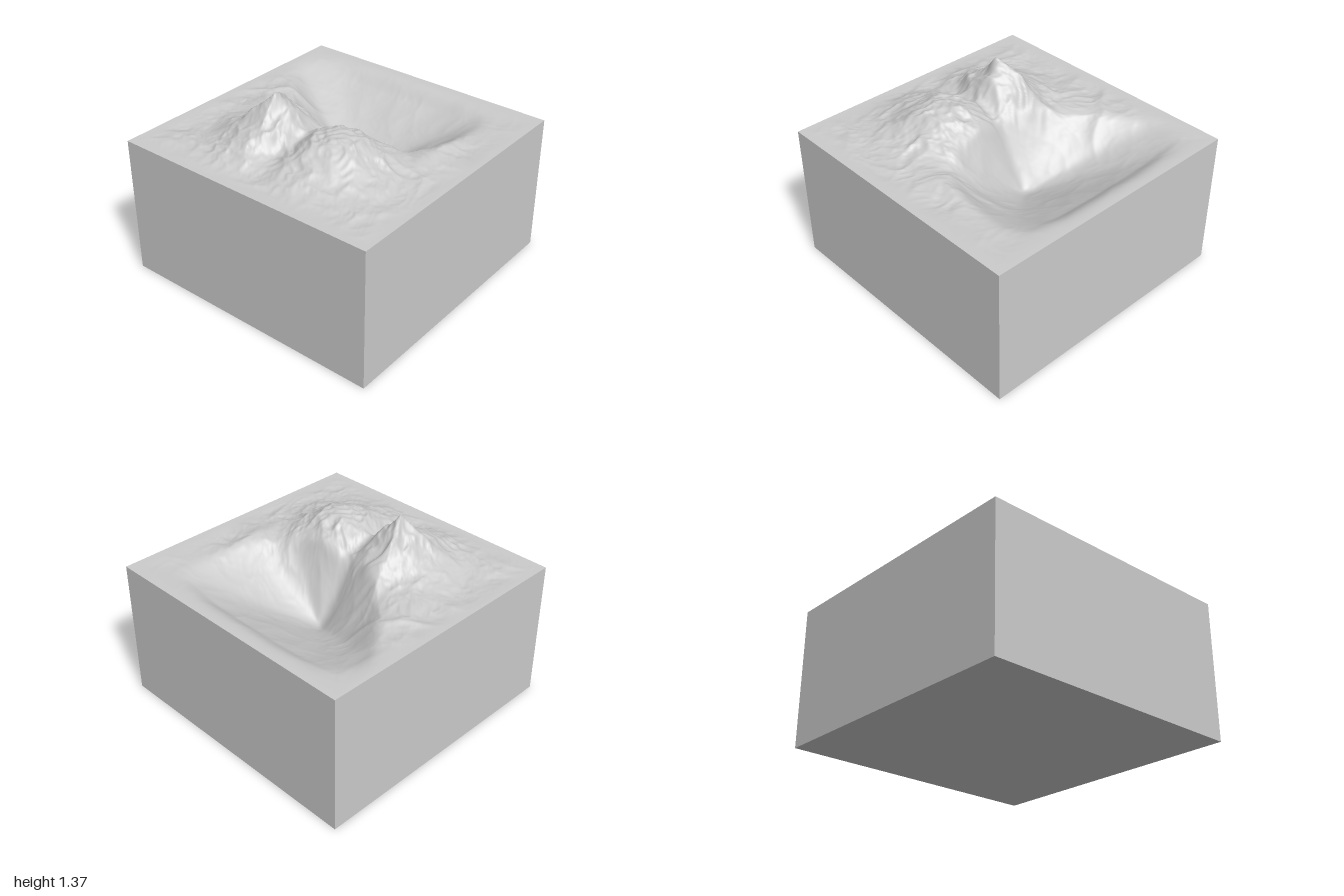
import * as THREE from 'three';

const RIM = 1.02; // height of the flat border

// Repeatable gradient-free lattice noise in the range -1..1
function lattice(i, j) {
  let n = Math.imul(i + 131, 374761393) ^ Math.imul(j + 57, 668265263);
  n = Math.imul(n ^ (n >>> 13), 1274126177);
  return ((n ^ (n >>> 16)) >>> 0) / 2147483648 - 1;
}

function noise(x, z) {
  const i = Math.floor(x), j = Math.floor(z);
  const fade = (t) => t * t * t * (t * (t * 6 - 15) + 10);
  const u = fade(x - i), v = fade(z - j), mix = THREE.MathUtils.lerp;
  return mix(
    mix(lattice(i, j), lattice(i + 1, j), u),
    mix(lattice(i, j + 1), lattice(i + 1, j + 1), u), v);
}

// Sharp-crested fractal noise for rocky ridges, centred near zero
function ridges(x, z) {
  let sum = 0, amp = 1, f = 4.5;
  const wx = x + 0.06 * noise(x * 5 + 9, z * 5), wz = z + 0.06 * noise(x * 5, z * 5 + 21);
  for (let k = 0; k < 4; k++) {
    const a = 0.6 + k, c = Math.cos(a), s = Math.sin(a);
    sum += amp * (0.62 - Math.abs(noise((wx * c - wz * s) * f, (wx * s + wz * c) * f)) * 1.6);
    amp *= 0.5;
    f *= 2;
  }
  return sum;
}

// Hills and gullies: centre x, centre z, radius x, radius z, height
const HILLS = [
  [-0.36, -0.26, 0.22, 0.18, 0.25],  // main peak
  [-0.37, -0.26, 0.07, 0.07, 0.05],  // summit
  [-0.36, 0.3, 0.23, 0.2, 0.2],      // second peak
  [-0.2, 0.14, 0.08, 0.09, 0.06],    // shoulder
  [-0.2, -0.27, 0.08, 0.1, 0.04],    // east shoulder
  [-0.3, -0.03, 0.3, 0.06, -0.06],   // gully between the peaks
  [0.2, 0.68, 0.2, 0.06, 0.03],      // low southern hill
  [0.1, -0.65, 0.16, 0.1, 0.02],     // low northern hill
];

// Basin: lowest point and the outline of its rim, in order of angle
const LOW = [0.17, 0.0];
const OUTLINE = new THREE.CatmullRomCurve3([
  [0.9, 0], [0.88, 0.35], [0.74, 0.62], [0.42, 0.66], [0.15, 0.58], [0.0, 0.42], [-0.05, 0.15],
  [-0.08, -0.05], [-0.03, -0.25], [0.1, -0.45], [0.32, -0.66], [0.6, -0.84], [0.82, -0.72], [0.9, -0.4],
].map(([x, z]) => new THREE.Vector3(x, 0, z)), true).getPoints(140)
  .map((p) => ({ a: Math.atan2(p.z - LOW[1], p.x - LOW[0]), r: Math.hypot(p.x - LOW[0], p.z - LOW[1]) }))
  .sort((p, q) => p.a - q.a);

function rimRadius(angle) {
  const n = OUTLINE.length;
  let k = OUTLINE.findIndex((p) => p.a > angle);
  if (k < 0) k = 0;
  const p = OUTLINE[(k + n - 1) % n], q = OUTLINE[k];
  const turn = (d) => (d + 4 * Math.PI) % (2 * Math.PI);
  const t = turn(angle - p.a) / Math.max(turn(q.a - p.a), 1e-6);
  return THREE.MathUtils.lerp(p.r, q.r, Math.min(t, 1));
}

function basinDepth(x, z) {
  const dx = x - LOW[0], dz = z - LOW[1];
  const t = Math.hypot(dx, dz) / rimRadius(Math.atan2(dz, dx));
  // a cone with a rounded floor and a soft rim
  const s = 1.05 - Math.sqrt(t * t + 0.012);
  return 0.2 * (s + Math.sqrt(s * s + 0.008));
}

function terrainHeight(x, z) {
  const edge = 1 - Math.max(Math.abs(x), Math.abs(z));
  const mask = THREE.MathUtils.smoothstep(edge, 0.02, 0.22);
  let h = 0;
  for (const [cx, cz, rx, rz, top] of HILLS) {
    h += top * Math.exp(-0.5 * (((x - cx) / rx) ** 2 + ((z - cz) / rz) ** 2));
  }
  const depth = basinDepth(x, z);
  // rock is rough on the hills and smooth inside the basin
  const east = THREE.MathUtils.smoothstep(x, 0.1, 0.7);
  const rough = (0.013 + 0.12 * Math.max(h, 0)) * (1 - 0.65 * east) / (1 + 5 * depth);
  return RIM + mask * (h - depth + rough * ridges(x, z));
}

export function createModel() {
  const group = new THREE.Group();
  group.name = 'terrainBlock';
  const material = new THREE.MeshStandardMaterial({ color: 0xcccccc });

  // Landscape surface
  const land = new THREE.PlaneGeometry(2, 2, 190, 190).rotateX(-Math.PI / 2);
  const pos = land.attributes.position;
  for (let i = 0; i < pos.count; i++) pos.setY(i, terrainHeight(pos.getX(i), pos.getZ(i)));
  land.computeVertexNormals();
  const terrain = new THREE.Mesh(land, material);
  terrain.name = 'terrain';

  // Block under the landscape: a box without its top face
  const box = new THREE.BoxGeometry(2, RIM, 2).translate(0, RIM / 2, 0);
  box.setIndex(Array.from(box.index.array).filter((_, i) => i < 12 || i >= 18));
  box.clearGroups();
  const block = new THREE.Mesh(box, material);
  block.name = 'baseBlock';

  group.add(terrain, block);
  return group;
}
